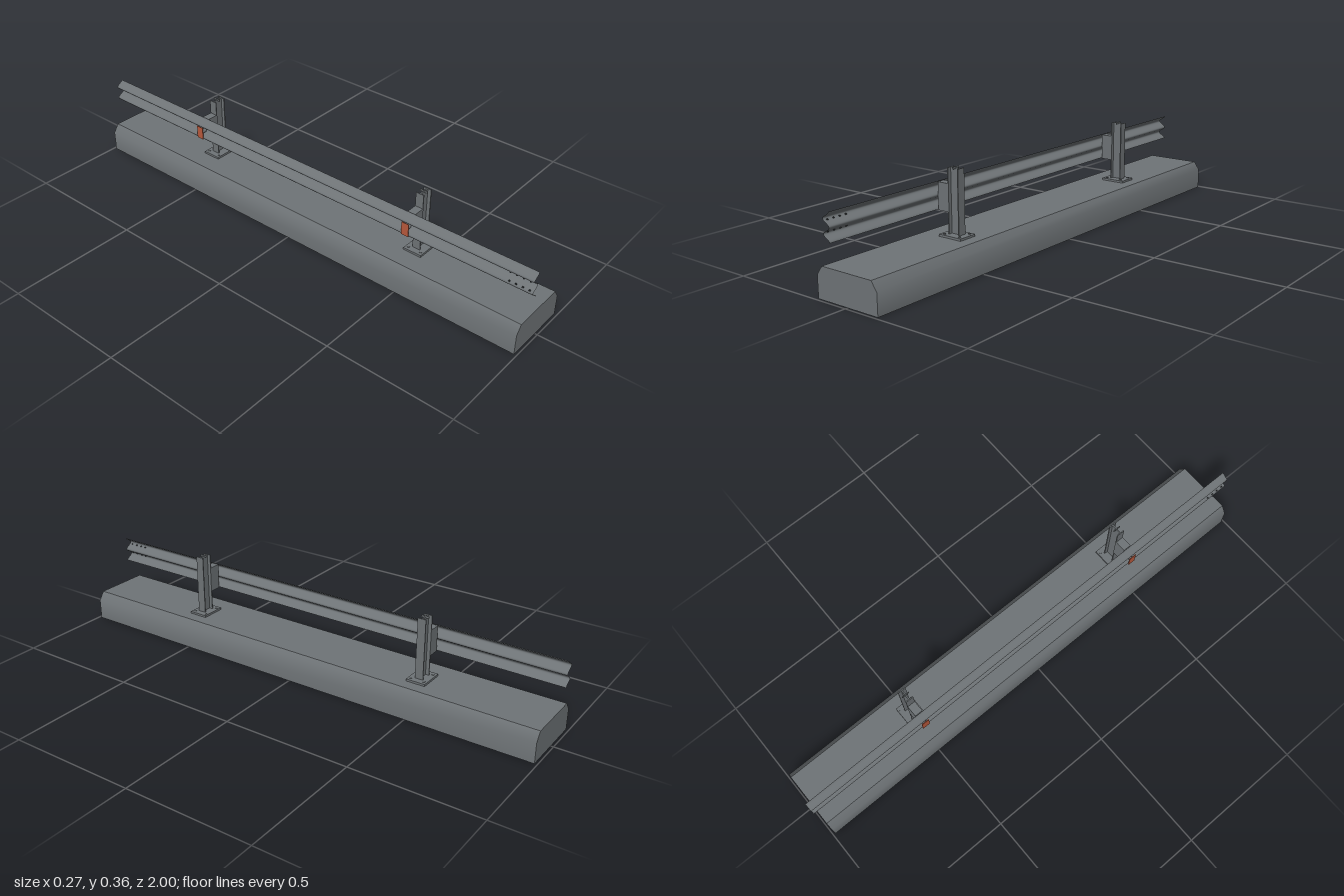
import * as THREE from 'three';
import { toCreasedNormals } from 'three/addons/utils/BufferGeometryUtils.js';

const steel = new THREE.MeshStandardMaterial({ color: 0x6e7376, side: THREE.DoubleSide });
steel.name = 'grey steel and concrete';
const orange = new THREE.MeshStandardMaterial({ color: 0xb8593c });
orange.name = 'orange reflector';
const dark = new THREE.MeshStandardMaterial({ color: 0x303436 });
dark.name = 'dark hole';

function add(parent, name, geometry, material, x = 0, y = 0, z = 0) {
  const mesh = new THREE.Mesh(geometry, material);
  mesh.name = name;
  mesh.position.set(x, y, z);
  parent.add(mesh);
  return mesh;
}

// Box given by its extents in x and y and its width in z
function box(parent, name, x0, x1, y0, y1, width, material = steel) {
  return add(parent, name, new THREE.BoxGeometry(x1 - x0, y1 - y0, width), material,
    (x0 + x1) / 2, (y0 + y1) / 2, 0);
}

// Corrugated section: two humps towards -x with a valley at mid height
const railX = (y) => -0.068 + 0.0135 * Math.cos((2 * Math.PI * (y - 0.25)) / 0.05);

function createRail() {
  const geometry = new THREE.PlaneGeometry(2, 0.1, 1, 40);
  geometry.rotateY(-Math.PI / 2);
  const p = geometry.attributes.position;
  for (let i = 0; i < p.count; i++) {
    const y = p.getY(i) + 0.25;
    p.setXYZ(i, railX(y), y, p.getZ(i));
  }
  geometry.computeVertexNormals();
  return geometry;
}

function createBase() {
  const shape = new THREE.Shape([
    [-0.133, 0], [0.133, 0], [0.133, 0.08], [0.11, 0.113], [-0.11, 0.113], [-0.133, 0.08],
  ].map(([x, y]) => new THREE.Vector2(x, y)));
  const geometry = new THREE.ExtrudeGeometry(shape, { depth: 1.98, bevelEnabled: false });
  geometry.translate(0, 0, -0.99);
  return toCreasedNormals(geometry, 0.7);
}

function createSupport() {
  const support = new THREE.Group();
  support.name = 'support';

  // Base plate with four low anchor bolts
  box(support, 'basePlate', -0.033, 0.065, 0.113, 0.121, 0.075);
  for (const x of [-0.017, 0.05]) {
    for (const z of [-0.026, 0.026]) {
      add(support, 'anchorBolt', new THREE.CylinderGeometry(0.005, 0.005, 0.003, 12), steel, x, 0.1215, z);
    }
  }

  // I-section post: two flanges joined by a web
  box(support, 'postFlange', -0.008, -0.004, 0.121, 0.354, 0.032);
  box(support, 'postFlange', 0.036, 0.04, 0.121, 0.354, 0.032);
  box(support, 'postWeb', -0.004, 0.036, 0.121, 0.354, 0.005);
  box(support, 'postTopTab', 0.0145, 0.0175, 0.35, 0.358, 0.03);

  // Spacer between post and rail
  box(support, 'spacerBlock', -0.052, -0.008, 0.198, 0.298, 0.032);

  // Reflector on its stem in the rail valley
  const stem = add(support, 'reflectorStem', new THREE.CylinderGeometry(0.008, 0.008, 0.025, 16), steel, -0.072, 0.248, 0);
  stem.rotation.z = Math.PI / 2;
  box(support, 'reflector', -0.087, -0.084, 0.222, 0.273, 0.03, orange);
  return support;
}

export function createModel() {
  const model = new THREE.Group();
  model.name = 'guardRail';

  add(model, 'concreteBase', createBase(), steel);
  add(model, 'rail', createRail(), steel);

  // Rows of holes at the front end of the rail
  for (const y of [0.2315, 0.2685]) {
    for (const z of [0.91, 0.935, 0.96, 0.985]) {
      const hole = add(model, 'railHole', new THREE.CylinderGeometry(0.0035, 0.0035, 0.003, 12), dark, railX(y), y, z);
      hole.rotation.z = Math.PI / 2;
    }
  }

  for (const z of [-0.5, 0.5]) {
    const support = createSupport();
    support.position.z = z;
    model.add(support);
  }
  return model;
}
